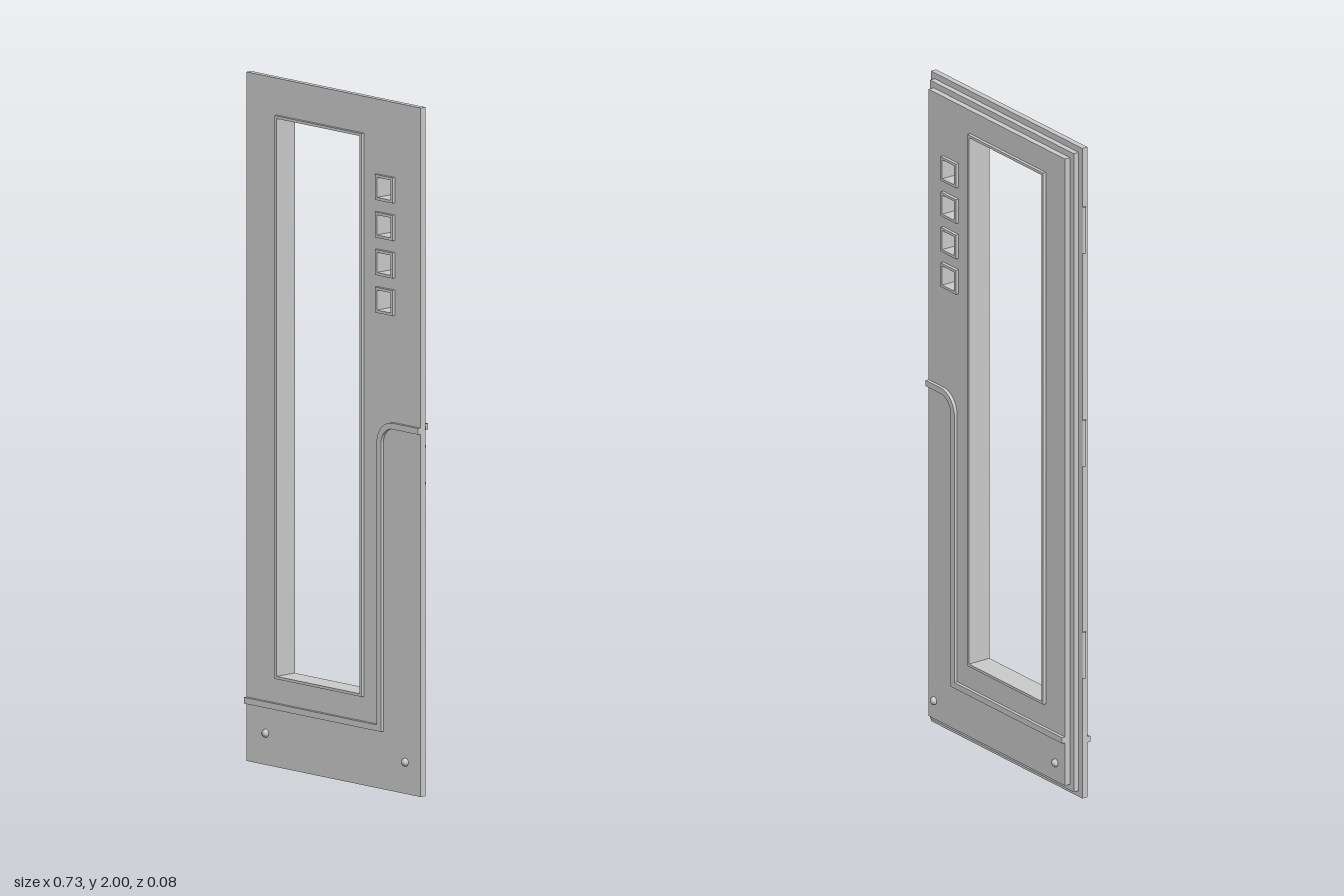
import * as THREE from 'three';

const material = new THREE.MeshStandardMaterial({ color: 0xcccccc, side: THREE.DoubleSide });
const CX = 0.0025; // middle of the door leaf in x

// closed rectangle as shape or hole
function rect(Type, x0, y0, x1, y1) {
  const p = new Type();
  p.moveTo(x0, y0);
  p.lineTo(x1, y0);
  p.lineTo(x1, y1);
  p.lineTo(x0, y1);
  p.closePath();
  return p;
}

function add(parent, name, geometry, x = 0, y = 0, z = 0) {
  const mesh = new THREE.Mesh(geometry, material);
  mesh.name = name;
  mesh.position.set(x, y, z);
  parent.add(mesh);
  return mesh;
}

function slab(parent, name, shape, z0, z1) {
  const geometry = new THREE.ExtrudeGeometry(shape, { depth: z1 - z0, bevelEnabled: false, curveSegments: 12 });
  return add(parent, name, geometry, 0, 0, z0);
}

// moulding strip: along the bottom, up beside the window, curving out to the lock edge
function mouldingShape(x0, x1) {
  const s = new THREE.Shape();
  const cx = 0.258, cy = 1.005, outer = 0.066, inner = 0.048;
  s.moveTo(x0, 0.168);
  s.lineTo(cx - inner, 0.168);
  s.lineTo(cx - inner, cy);
  s.absarc(cx, cy, inner, Math.PI, Math.PI / 2, true);
  s.lineTo(x1, cy + inner);
  s.lineTo(x1, cy + outer);
  s.lineTo(cx, cy + outer);
  s.absarc(cx, cy, outer, Math.PI / 2, Math.PI, false);
  s.lineTo(cx - outer, 0.186);
  s.lineTo(x0, 0.186);
  s.closePath();
  return s;
}

export function createModel() {
  const door = new THREE.Group();
  door.name = 'door';

  // window openings: one tall, four small squares
  const openings = [{ name: 'tallWindowFrame', box: [-0.233, 0.258, 0.13, 1.893] }];
  for (let i = 0; i < 4; i++) {
    const y = 1.746 - i * 0.109;
    openings.push({ name: 'squareWindowFrame', box: [0.185, y - 0.037, 0.258, y + 0.037] });
  }

  // three stepped leaf layers, rebated towards the back
  const layers = [
    ['frontLayer', 0, 0.007, 0.025],
    ['middleLayer', 0.018, -0.01, 0.007],
    ['backLayer', 0.036, -0.028, -0.01],
  ];
  for (const [name, inset, z0, z1] of layers) {
    const half = 0.3625 - inset;
    const shape = rect(THREE.Shape, CX - half, inset, CX + half, 2 - inset);
    for (const o of openings) shape.holes.push(rect(THREE.Path, ...o.box));
    slab(door, name, shape, z0, z1);
  }

  // window frames lining the openings, proud of both faces
  const t = 0.008;
  for (const { name, box: [x0, y0, x1, y1] } of openings) {
    const shape = rect(THREE.Shape, x0, y0, x1, y1);
    shape.holes.push(rect(THREE.Path, x0 + t, y0 + t, x1 - t, y1 - t));
    slab(door, name, shape, -0.038, 0.035);
  }

  // mouldings on both faces
  slab(door, 'frontMoulding', mouldingShape(-0.36, 0.365), 0.025, 0.035);
  slab(door, 'backMoulding', mouldingShape(-0.324, 0.329), -0.038, -0.028);

  // round studs on the kick panel
  const stud = new THREE.SphereGeometry(0.012, 16, 12);
  for (const x of [-0.279, 0.302]) {
    add(door, 'frontStud', stud, x, 0.092, 0.025);
    add(door, 'backStud', stud, x, 0.092, -0.028);
  }

  // hinge barrels
  const barrel = new THREE.CylinderGeometry(0.006, 0.006, 0.142, 16);
  for (const y of [0.441, 1.093, 1.749]) add(door, 'hinge', barrel, -0.361, y, 0.012);

  // lock plate and catches on the closing edge
  add(door, 'lockPlate', new THREE.BoxGeometry(0.004, 0.11, 0.014), 0.347, 0.955, -0.001);
  const catchBall = new THREE.SphereGeometry(0.009, 12, 10);
  for (const y of [1.065, 1.012, 0.905]) add(door, 'lockCatch', catchBall, 0.348, y, 0);

  return door;
}
